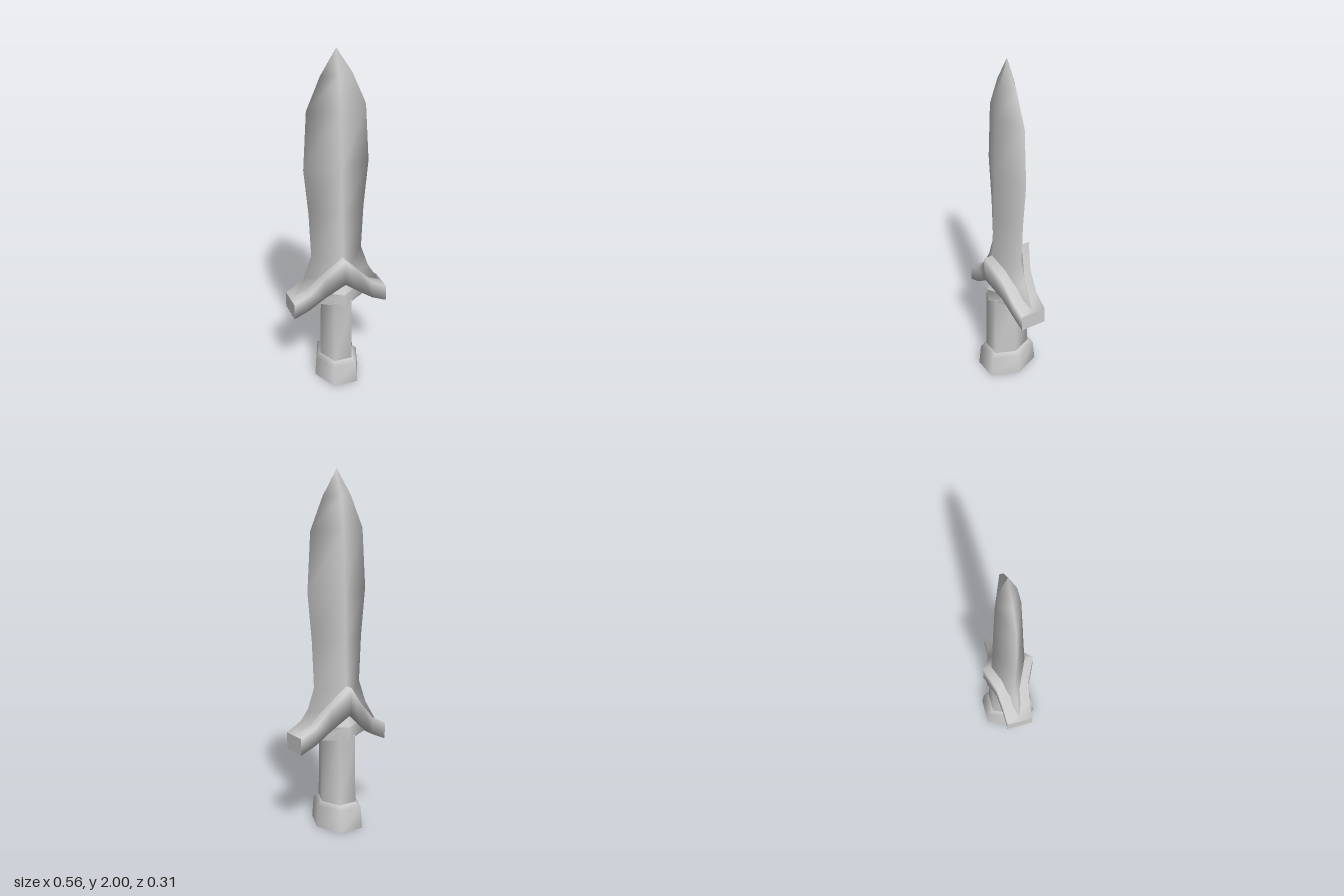
import * as THREE from 'three';

const steel = new THREE.MeshStandardMaterial({ color: 0xcccccc });
steel.name = 'steel';

// Skins a series of closed rings; flat end caps are optional.
function loft(name, rings, capStart = true, capEnd = true) {
  const n = rings[0].length;
  const pos = rings.flat(2);
  const index = [];
  for (let i = 0; i < rings.length - 1; i++) {
    for (let j = 0; j < n; j++) {
      const k = (j + 1) % n;
      const a = i * n + j, b = i * n + k, c = b + n, d = a + n;
      index.push(a, b, c, a, c, d);
    }
  }
  // Caps have their own vertices so that their rims stay sharp
  const cap = (ring, flip) => {
    const base = pos.length / 3;
    pos.push(...ring.flat());
    for (let j = 1; j < n - 1; j++) {
      index.push(base, base + (flip ? j + 1 : j), base + (flip ? j : j + 1));
    }
  };
  if (capStart) cap(rings[0], true);
  if (capEnd) cap(rings[rings.length - 1], false);
  const geo = new THREE.BufferGeometry();
  geo.setAttribute('position', new THREE.Float32BufferAttribute(pos, 3));
  geo.setIndex(index);
  geo.computeVertexNormals();
  const mesh = new THREE.Mesh(geo, steel);
  mesh.name = name;
  return mesh;
}

// Horizontal sections from height, half width and half depth
const diamond = ([y, w, d]) => [[0, y, d], [w, y, 0], [0, y, -d], [-w, y, 0]];
const hexagon = ([y, w, d]) => {
  const s = w * 0.53;
  return [[-s, y, d], [s, y, d], [w, y, 0], [s, y, -d], [-s, y, -d], [-w, y, 0]];
};

export function createModel() {
  const model = new THREE.Group();
  model.name = 'dagger';

  // Leaf-shaped blade with a central ridge
  model.add(loft('blade', [
    [0.58, 0.26, 0.1], [0.69, 0.195, 0.1], [0.82, 0.15, 0.098],
    [1.08, 0.162, 0.088], [1.35, 0.188, 0.079], [1.68, 0.168, 0.067],
    [1.86, 0.09, 0.045], [2, 0.001, 0.001],
  ].map(diamond)));

  // Chevron crossguard: x, top, bottom, half depth
  const half = [
    [0, 0.83, 0.68, 0.147], [0.1, 0.715, 0.585, 0.095],
    [0.19, 0.615, 0.515, 0.08], [0.28, 0.567, 0.473, 0.075],
  ];
  const stations = [...half.slice(1).reverse().map(([x, ...r]) => [-x, ...r]), ...half];
  model.add(loft('crossguard', stations.map(([x, t, b, d]) =>
    [[x, t, -d], [x, t, d], [x, b, d], [x, b, -d]])));

  // Diamond collar beneath the guard, with a sloping top
  model.add(loft('collarSide', [[0.525, 0.2, 0.13], [0.6, 0.2, 0.13]].map(diamond), true, false));
  model.add(loft('collarTop', [[0.6, 0.2, 0.13], [0.7, 0.1, 0.09]].map(diamond), false, true));

  // Six-sided grip
  model.add(loft('grip', [[0.12, 0.1, 0.112], [0.54, 0.095, 0.107]].map(hexagon)));

  // Flared pommel with a bevelled shoulder
  model.add(loft('pommel', [
    [0, 0.135, 0.154], [0.125, 0.126, 0.143], [0.148, 0.098, 0.111],
  ].map(hexagon)));

  return model;
}
